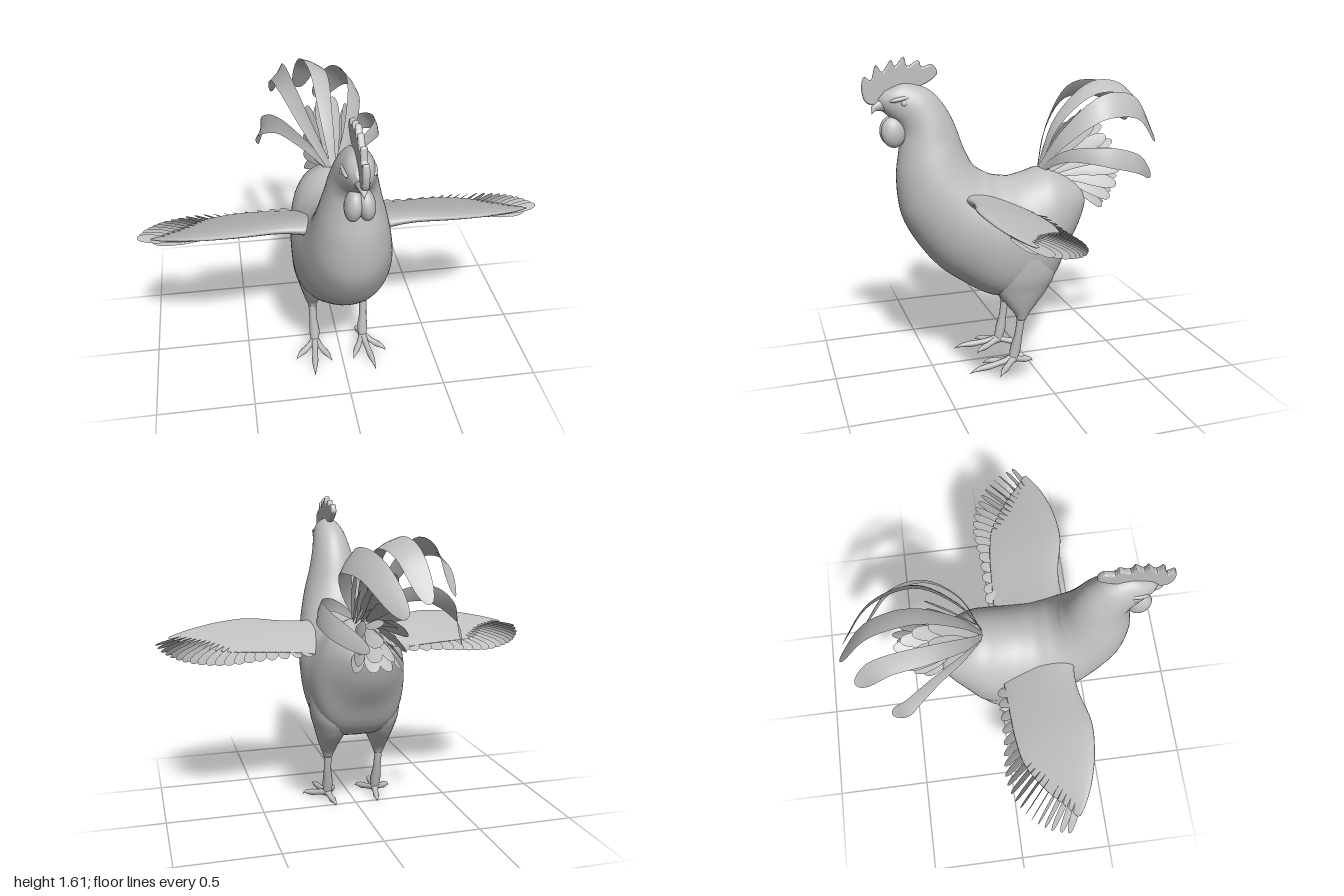
import * as THREE from 'three';

const V = (x, y, z) => new THREE.Vector3(x, y, z);
const plumage = new THREE.MeshStandardMaterial({ color: 0xc0c0c0, side: THREE.DoubleSide });
plumage.name = 'pale grey';

function add(parent, name, geometry) {
  const mesh = new THREE.Mesh(geometry, plumage);
  mesh.name = name;
  parent.add(mesh);
  return mesh;
}

// Smoothly resample a table of section rows
function resample(rows, n) {
  const splines = rows[0].map((_, c) => new THREE.SplineCurve(rows.map((r, i) => new THREE.Vector2(i, r[c]))));
  return Array.from({ length: n + 1 }, (_, i) => splines.map((s) => s.getPoint(i / n).y));
}

// Closed skin over rings; pointAt(row, cos, sin) gives one ring point
function loft(rows, pointAt, sides = 32) {
  const pos = [], idx = [];
  const ends = [V(0, 0, 0), V(0, 0, 0)];
  rows.forEach((row, i) => {
    for (let j = 0; j < sides; j++) {
      const a = (j / sides) * Math.PI * 2;
      const p = pointAt(row, Math.cos(a), Math.sin(a));
      pos.push(p.x, p.y, p.z);
      if (i === 0) ends[0].addScaledVector(p, 1 / sides);
      if (i === rows.length - 1) ends[1].addScaledVector(p, 1 / sides);
    }
  });
  const last = (rows.length - 1) * sides, capA = rows.length * sides, capB = capA + 1;
  ends.forEach((p) => pos.push(p.x, p.y, p.z));
  for (let j = 0; j < sides; j++) {
    const k = (j + 1) % sides;
    for (let i = 0; i < last; i += sides) {
      idx.push(i + j, i + k, i + sides + j, i + k, i + sides + k, i + sides + j);
    }
    idx.push(capA, k, j, capB, last + j, last + k);
  }
  return finish(pos, idx);
}

function finish(pos, idx) {
  const g = new THREE.BufferGeometry();
  g.setAttribute('position', new THREE.Float32BufferAttribute(pos, 3));
  g.setIndex(idx);
  g.computeVertexNormals();
  return g;
}

// Thin feather blade along a path, widening from its root to a round tip
function feather(points, halfWidth, side, camber = 0.12, n = 16) {
  const curve = new THREE.CatmullRomCurve3(points);
  const pos = [], idx = [];
  for (let i = 0; i <= n; i++) {
    const t = 1 - (1 - i / n) ** 1.7, p = curve.getPoint(t), dir = curve.getTangent(t);
    const s = side.clone().addScaledVector(dir, -side.dot(dir)).normalize();
    const up = s.clone().cross(dir);
    const w = halfWidth * Math.min(1, 0.25 + 1.3 * t) * Math.sqrt(Math.max(0, 1 - t ** 9));
    for (const k of [-1, 0, 1]) {
      const q = p.clone().addScaledVector(s, k * w).addScaledVector(up, k ? 0 : w * camber);
      pos.push(q.x, q.y, q.z);
    }
    if (i) for (const k of [0, 1]) {
      const a = 3 * (i - 1) + k;
      idx.push(a, a + 1, a + 3, a + 1, a + 4, a + 3);
    }
  }
  return finish(pos, idx);
}

// Round limb whose radius follows a list
function limb(points, radii, n = 24) {
  const curve = new THREE.CatmullRomCurve3(points);
  const g = new THREE.TubeGeometry(curve, n, 1, 12);
  const rs = resample(radii.map((r) => [r]), n), p = g.attributes.position;
  for (let i = 0; i < p.count; i++) {
    const ring = Math.floor(i / 13), c = curve.getPointAt(ring / n);
    const v = V(0, 0, 0).fromBufferAttribute(p, i).sub(c).multiplyScalar(Math.max(0.0005, rs[ring][0])).add(c);
    p.setXYZ(i, v.x, v.y, v.z);
  }
  return g;
}

function blob(parent, name, r, x, y, z) {
  const m = add(parent, name, new THREE.SphereGeometry(1, 24, 16));
  m.scale.set(...r);
  m.position.set(x, y, z);
  return m;
}

function makeLeg() {
  const leg = new THREE.Group();
  // Thigh: [x, y, z, half width, half depth]
  const thigh = [[.1, .8, .06, .11, .12], [.113, .66, .045, .127, .17], [.124, .52, .035, .111, .17],
    [.13, .43, .042, .082, .135], [.137, .36, .048, .056, .085], [.14, .3, .05, .034, .038], [.14, .27, .052, .024, .025]];
  add(leg, 'thigh', loft(resample(thigh, 30), ([x, y, z, a, b], c, s) => V(x + a * c, y, z + b * s), 28));
  add(leg, 'shank', limb([V(.14, .32, .05), V(.14, .2, .065), V(.135, .1, .085), V(.135, .035, .1)],
    [.024, .021, .021, .028, .02]));
  const tips = [[.25, .2], [.165, .34], [.06, .24], [.115, -.02]];
  for (const [x, z] of tips) {
    const mx = .135 + (x - .135) * .5, mz = .095 + (z - .095) * .5;
    add(leg, 'toe', limb([V(.135, .052, .095), V(mx, .034, mz), V(x - (x - mx) * .3, .026, z - (z - mz) * .3), V(x, .012, z)],
      [.024, .017, .015, .017, .011, .001]));
  }
  return leg;
}

function makeWing() {
  const wing = new THREE.Group();
  const slope = .28;
  // Arm and coverts: [x, leading z, trailing z, height, half thickness]
  const rows = [[.1, .385, -.05, .88, .09], [.2, .348, -.01, .9, .058], [.33, .348, .0, .913, .04], [.5, .385, .01, .92, .032],
    [.65, .375, .04, .915, .026], [.78, .342, .12, .907, .018], [.87, .303, .2, .902, .01], [.93, .265, .25, .9, .003]];
  add(wing, 'wingArm', loft(resample(rows, 40), ([x, lead, trail, y, t], c, s) => {
    const z = (lead + trail) / 2 + s * (lead - trail) / 2;
    return V(x, y + slope * (z - .2) + t * c * (.3 + .35 * (s + 1)), z);
  }));
  // Flight feathers in two layers, fanning out toward the tip
  const edge = resample([[.26, -.045], [.38, -.045], [.5, -.045], [.6, -.055], [.69, -.06], [.77, -.045], [.84, -.015],
    [.9, .025], [.945, .075], [.98, .13], [1, .2]], 18);
  for (const layer of [0, 1]) {
    edge.forEach(([x, z], i) => {
      const t = i / 18, rx = .27 + .5 * t, rz = .16 + .15 * t;
      const reach = layer ? .68 : 1, drop = .005 + .013 * layer;
      const tx = rx + (x - rx) * reach, tz = rz + (z - rz) * reach;
      const at = (px, pz) => V(px, .914 - .014 * t + slope * (pz - .2) - drop, pz);
      add(wing, layer ? 'underCovert' : 'flightFeather',
        feather([at(rx, rz), at((rx + tx) / 2, (rz + tz) / 2), at(tx, tz)], .034 - .012 * t, V(1, .3, -1.2 * t), .1, 14));
    });
  }
  return wing;
}

export function createModel() {
  const model = new THREE.Group();
  model.name = 'rooster';

  // Body, neck and head in one skin: [back z, back y, belly z, belly y, half width, belly roundness]
  const body = [[-.335, .9, -.337, .885, .02, 1], [-.28, .955, -.325, .82, .1, 1], [-.2, 1.01, -.285, .72, .155, .9],
    [-.1, 1.042, -.21, .6, .205, .75], [-.01, 1.02, -.13, .46, .235, .62], [.06, 1.005, 0, .395, .245, .55],
    [.12, 1.01, .13, .39, .25, .6], [.17, 1.02, .22, .405, .248, .72], [.21, 1.04, .33, .47, .24, .85],
    [.25, 1.065, .455, .565, .225, .95], [.28, 1.1, .55, .685, .207, 1], [.295, 1.13, .62, .81, .19, 1],
    [.31, 1.16, .645, .92, .175, 1], [.325, 1.2, .65, 1.05, .155, 1], [.345, 1.26, .635, 1.16, .132, 1],
    [.37, 1.32, .622, 1.25, .115, 1], [.41, 1.39, .64, 1.3, .1, 1], [.47, 1.455, .67, 1.33, .087, 1],
    [.54, 1.487, .7, 1.36, .072, 1], [.61, 1.495, .72, 1.39, .055, 1], [.69, 1.465, .73, 1.42, .025, 1]];
  add(model, 'body', loft(resample(body, 80), ([tz, ty, bz, by, w, round], c, s) => {
    const across = s < 0 ? Math.sign(c) * Math.abs(c) ** round : c;
    return V(w * across, (ty + by) / 2 + s * (ty - by) / 2, (tz + bz) / 2 + s * (tz - bz) / 2);
  }, 48));

  // Comb: lobed profile in (z, y)
  const outline = [[.77, 1.4], [.79, 1.42], [.8, 1.48], [.785, 1.53], [.755, 1.512], [.728, 1.583], [.7, 1.55], [.655, 1.605],
    [.64, 1.575], [.595, 1.618], [.58, 1.575], [.525, 1.6], [.51, 1.57], [.46, 1.58], [.434, 1.54], [.47, 1.502],
    [.54, 1.47], [.62, 1.44], [.7, 1.4]];
  const edge = new THREE.CatmullRomCurve3(outline.map(([z, y]) => V(-z, y, 0)), true);
  const comb = new THREE.ExtrudeGeometry(new THREE.Shape(edge.getPoints(76).slice(0, -1).map((p) => new THREE.Vector2(p.x, p.y))),
    { depth: .006, bevelThickness: .012, bevelSize: .008, bevelOffset: -.008, bevelSegments: 3 });
  comb.translate(0, 0, -.003).rotateY(Math.PI / 2);
  add(model, 'comb', comb);

  add(model, 'beak', limb([V(0, 1.395, .66), V(0, 1.395, .71), V(0, 1.38, .742), V(0, 1.352, .757)], [.045, .036, .022, .001]));
  for (const s of [-1, 1]) {
    blob(model, 'wattle', [.042, .075, .06], s * .027, 1.265, .66).rotation.z = s * .12;
    blob(model, 'eye', [.012, .016, .018], s * .07, 1.405, .61);
    blob(model, 'brow', [.018, .012, .055], s * .06, 1.426, .625).rotation.x = .2;
  }

  for (const [name, make] of [['Leg', makeLeg], ['Wing', makeWing]]) {
    for (const s of [1, -1]) {
      const part = make();
      part.name = (s > 0 ? 'left' : 'right') + name;
      part.scale.x = s;
      model.add(part);
    }
  }

  // Long curved tail feathers: [path, half width, blade direction]
  const tail = new THREE.Group();
  tail.name = 'tail';
  model.add(tail);
  const sickles = [
    [[[-.02, 1.03, -.09], [-.15, 1.14, -.19], [-.27, 1.18, -.34], [-.345, 1.11, -.47], [-.35, .97, -.56]], .05, V(-.25, -.9, 0)],
    [[[.02, 1.03, -.09], [.17, 1.12, -.18], [.275, 1.125, -.34], [.26, 1.08, -.52], [.13, .985, -.67]], .052, V(.25, -.9, 0)],
    [[[-.02, 1.04, -.09], [-.12, 1.23, -.17], [-.21, 1.4, -.33], [-.24, 1.39, -.55], [-.25, 1.22, -.7]], .055, V(-.5, -.7, 0)],
    [[[0, 1.04, -.09], [-.02, 1.27, -.2], [-.03, 1.43, -.4], [-.06, 1.41, -.6], [-.11, 1.2, -.77]], .062, V(1, -.5, 0)],
    [[[.02, 1.04, -.09], [.1, 1.2, -.19], [.15, 1.35, -.38], [.1, 1.34, -.58], [-.01, 1.14, -.76]], .07, V(.5, -.8, 0)],
  ];
  for (const [path, w, side] of sickles) {
    add(tail, 'sickleFeather', feather(path.map((p) => V(...p)), w, side, .12, 28));
  }

  // Short tail feathers in a layered fan, outer columns turned to face sideways
  for (let row = 0; row < 7; row++) {
    for (const col of [-1.5, -.5, .5, 1.5]) {
      const outer = Math.abs(col) > 1;
      const a = .8 - row * .24 + (outer ? 0 : .1), len = (outer ? .35 : .38) - Math.max(0, row - 3) * .035;
      const root = V(col * .03, 1.025 - row * .008, -.1 - row * .018);
      const at = (t, lift) => V(root.x + col * .04 * t, root.y + Math.sin(a) * len * t + lift, root.z - Math.cos(a) * len * t);
      add(tail, 'tailFeather', feather([root, at(.5, .015), at(1, 0)], .04, V(1, -col * 1.1, -col * .6), .15, 14));
    }
  }
  return model;
}
